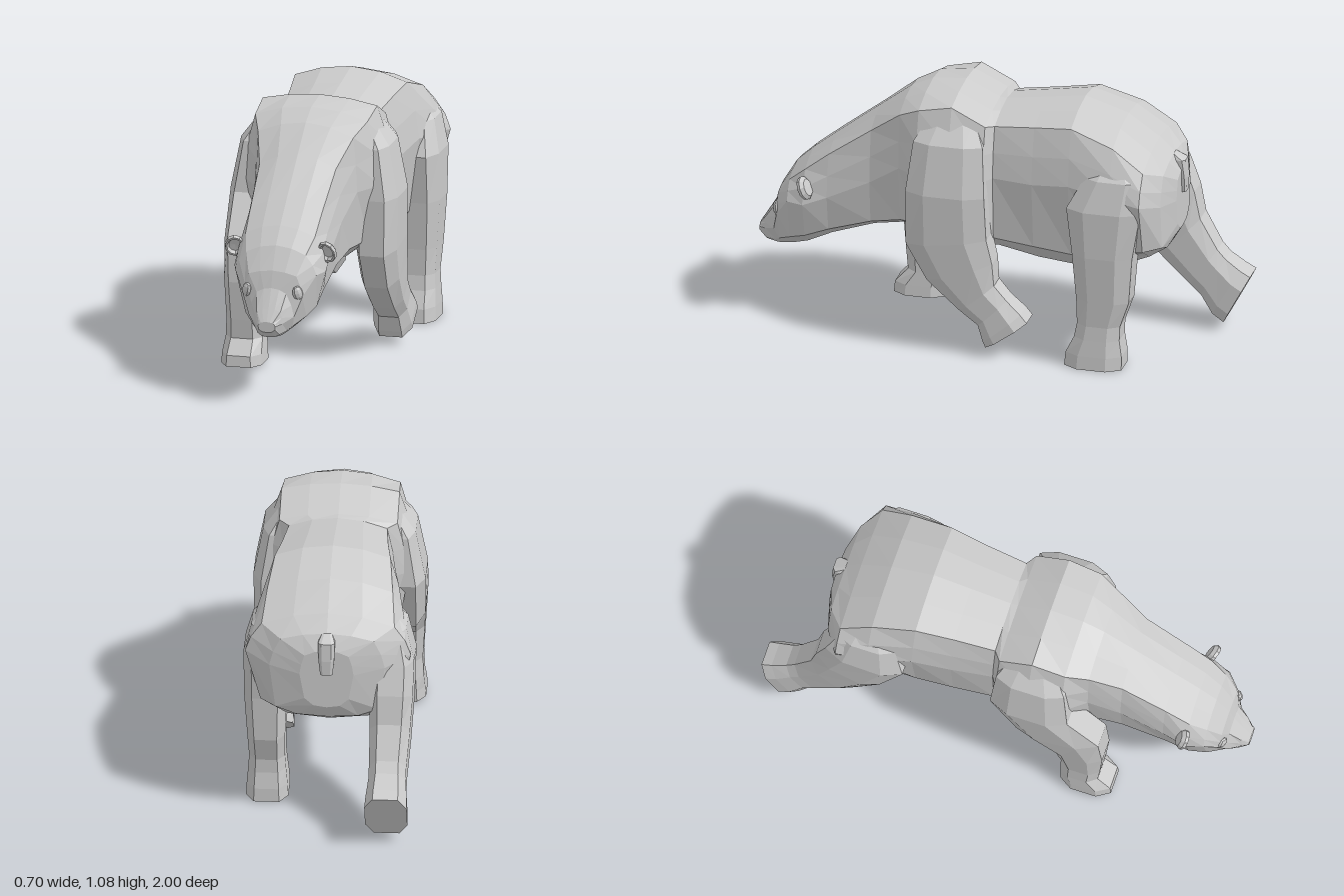
import * as THREE from 'three';

const material = new THREE.MeshStandardMaterial({ color: 0xcccccc, flatShading: true });

function addMesh(parent, name, geometry) {
  const mesh = new THREE.Mesh(geometry, material);
  mesh.name = name;
  parent.add(mesh);
  return mesh;
}

// Skin a closed solid over rings with equal point counts, capped at both ends
function loft(rings) {
  const n = rings[0].length;
  const tris = [];
  for (let i = 0; i < rings.length - 1; i++) {
    for (let j = 0; j < n; j++) {
      const k = (j + 1) % n;
      const a = rings[i][j], b = rings[i][k], c = rings[i + 1][k], d = rings[i + 1][j];
      tris.push([a, b, c], [a, c, d]);
    }
  }
  const centre = (ring) => ring.reduce((s, p) => s.add(p), new THREE.Vector3()).divideScalar(n);
  const first = rings[0], last = rings[rings.length - 1];
  const c0 = centre(first), c1 = centre(last);
  for (let j = 0; j < n; j++) {
    const k = (j + 1) % n;
    tris.push([c0, first[k], first[j]], [c1, last[j], last[k]]);
  }
  // Turn faces outward if the enclosed volume is negative
  const cross = new THREE.Vector3();
  const volume = tris.reduce((v, [a, b, c]) => v + a.dot(cross.crossVectors(b, c)), 0);
  if (volume < 0) tris.forEach((t) => t.reverse());
  const geometry = new THREE.BufferGeometry().setFromPoints(tris.flat());
  geometry.computeVertexNormals();
  return geometry;
}

// Body section: ridge, upper edge A, widest point B, lower edge C, underside
function bodyRing([z, top, yA, wA, yB, wB, yC, wC, bottom]) {
  const half = [
    [wA * 0.52, top - (top - yA) * 0.28], [wA, yA],
    [wA + (wB - wA) * 0.66, (yA + yB) / 2], [wB, yB], [wC, yC],
    [wC * 0.6, bottom + (yC - bottom) * 0.2],
  ];
  const right = half.map(([x, y]) => [-x, y]).reverse();
  return [[0, top], ...half, [0, bottom], ...right].map(([x, y]) => new THREE.Vector3(x, y, z));
}

// Leg section: bevelled box, tilted in degrees so its front edge drops
const bevelledBox = [[1, 0.5], [0.6, 1], [-0.6, 1], [-1, 0.5], [-1, -0.5], [-0.6, -1], [0.6, -1], [1, -0.5]];
function legRing(side, [x, y, z, rx, rz, tilt = 0]) {
  const t = THREE.MathUtils.degToRad(tilt);
  return bevelledBox.map(([u, v]) => new THREE.Vector3(
    side * x + u * rx, y - v * rz * Math.sin(t), z + v * rz * Math.cos(t)));
}

const headSections = [
  [1.0, 0.362, 0.358, 0.025, 0.345, 0.036, 0.33, 0.034, 0.318],
  [0.97, 0.41, 0.4, 0.05, 0.35, 0.058, 0.305, 0.045, 0.29],
  [0.925, 0.485, 0.465, 0.062, 0.37, 0.095, 0.31, 0.065, 0.282],
  [0.905, 0.553, 0.535, 0.1, 0.45, 0.125, 0.325, 0.085, 0.284],
  [0.85, 0.645, 0.61, 0.125, 0.53, 0.17, 0.355, 0.128, 0.297],
  [0.78, 0.71, 0.67, 0.145, 0.53, 0.192, 0.38, 0.153, 0.32],
  [0.68, 0.79, 0.75, 0.15, 0.57, 0.182, 0.42, 0.155, 0.37],
  [0.5, 0.93, 0.88, 0.16, 0.66, 0.185, 0.48, 0.165, 0.435],
];
const torsoSections = [
  [0.37, 1.03, 0.98, 0.2, 0.75, 0.215, 0.51, 0.185, 0.46],
  [0.28, 1.072, 1.025, 0.235, 0.76, 0.29, 0.53, 0.24, 0.43],
  [0.14, 1.086, 1.055, 0.24, 0.74, 0.32, 0.53, 0.25, 0.42],
  [0.0, 1.02, 0.985, 0.24, 0.76, 0.285, 0.5, 0.245, 0.41],
  [-0.03, 1.017, 0.975, 0.2, 0.76, 0.235, 0.49, 0.22, 0.405],
  [-0.2, 1.042, 0.995, 0.215, 0.76, 0.26, 0.475, 0.23, 0.37],
  [-0.36, 1.066, 1.015, 0.235, 0.78, 0.285, 0.46, 0.235, 0.355],
  [-0.54, 1.01, 0.955, 0.255, 0.76, 0.322, 0.49, 0.245, 0.37],
  [-0.67, 0.92, 0.865, 0.27, 0.74, 0.337, 0.52, 0.275, 0.44],
  [-0.735, 0.86, 0.83, 0.19, 0.71, 0.235, 0.52, 0.21, 0.48],
  [-0.77, 0.8, 0.775, 0.09, 0.69, 0.11, 0.58, 0.09, 0.54],
];

const shoulder = [
  [0.195, 1.01, 0.14, 0.04, 0.09],
  [0.24, 0.91, 0.145, 0.07, 0.145],
  [0.262, 0.7, 0.15, 0.088, 0.165],
];
const hip = [
  [0.2, 0.9, -0.55, 0.05, 0.07],
  [0.245, 0.83, -0.55, 0.07, 0.12],
];

// Each leg: side, then rings from the top of the limb to the sole
const legs = {
  leftFrontLeg: [1, [...shoulder,
    [0.26, 0.49, 0.145, 0.085, 0.17, 8],
    [0.257, 0.36, 0.09, 0.08, 0.145, 20],
    [0.255, 0.25, 0.02, 0.073, 0.095, 40],
    [0.255, 0.19, -0.045, 0.07, 0.085, 45],
    [0.255, 0.13, -0.085, 0.08, 0.103, 40],
    [0.255, 0.1, -0.105, 0.08, 0.107, 36]]],
  rightFrontLeg: [-1, [...shoulder,
    [0.258, 0.5, 0.27, 0.085, 0.18, -12],
    [0.253, 0.36, 0.35, 0.08, 0.11],
    [0.25, 0.2, 0.365, 0.073, 0.083],
    [0.25, 0.12, 0.36, 0.077, 0.08],
    [0.25, 0.06, 0.388, 0.082, 0.106],
    [0.25, 0.015, 0.39, 0.085, 0.108]]],
  leftHindLeg: [1, [...hip,
    [0.26, 0.7, -0.515, 0.088, 0.155],
    [0.26, 0.5, -0.51, 0.088, 0.126],
    [0.258, 0.3, -0.51, 0.077, 0.11],
    [0.256, 0.19, -0.492, 0.073, 0.09],
    [0.256, 0.13, -0.485, 0.077, 0.095],
    [0.256, 0.06, -0.473, 0.083, 0.117],
    [0.256, 0.002, -0.47, 0.086, 0.12]]],
  rightHindLeg: [-1, [...hip,
    [0.26, 0.69, -0.555, 0.088, 0.165, 5],
    [0.258, 0.53, -0.625, 0.088, 0.15, 25],
    [0.256, 0.39, -0.7, 0.082, 0.12, 45],
    [0.252, 0.265, -0.8, 0.076, 0.1, 55],
    [0.252, 0.225, -0.84, 0.076, 0.098, 58],
    [0.252, 0.165, -0.895, 0.084, 0.116, 60],
    [0.252, 0.137, -0.94, 0.086, 0.119, 62]]],
};

export function createModel() {
  const bear = new THREE.Group();
  bear.name = 'bear';

  // Head, neck and torso in one skin
  addMesh(bear, 'body', loft([...headSections, ...torsoSections].map(bodyRing)));

  // Walking legs
  for (const [name, [side, rings]] of Object.entries(legs)) {
    addMesh(bear, name, loft(rings.map((r) => legRing(side, r))));
  }

  // Cupped ears and oval eyes
  const earProfile = [[0, -0.016], [0.034, -0.014], [0.047, 0], [0.044, 0.014], [0.036, 0.014], [0.028, 0], [0, -0.002]]
    .map(([x, y]) => new THREE.Vector2(x, y));
  for (const side of [1, -1]) {
    const label = side > 0 ? 'left' : 'right';
    const ear = addMesh(bear, label + 'Ear', new THREE.LatheGeometry(earProfile, 10));
    ear.position.set(side * 0.194, 0.61, 0.766);
    ear.rotation.set(Math.PI / 2 + 0.4, 0, side * 0.2);
    ear.scale.set(0.9, 1, 1.08);

    const eye = addMesh(bear, label + 'Eye', new THREE.SphereGeometry(1, 8, 6));
    eye.position.set(side * 0.107, 0.468, 0.91);
    eye.scale.set(0.023, 0.03, 0.014);
    eye.rotation.set(0, side * 0.6, side * 0.3);
  }

  // Nose pad
  const nose = addMesh(bear, 'nose', new THREE.CylinderGeometry(0.038, 0.026, 0.036, 6));
  nose.position.set(0, 0.342, 0.98);
  nose.scale.z = 0.5;

  // Short hanging tail
  const tail = [[0.86, -0.725, 0.02, 0.012], [0.835, -0.76, 0.034, 0.024], [0.76, -0.773, 0.032, 0.017], [0.695, -0.774, 0.025, 0.013]];
  addMesh(bear, 'tail', loft(tail.map(([y, z, rx, rz]) => legRing(1, [0, y, z, rx, rz]))));

  return bear;
}
